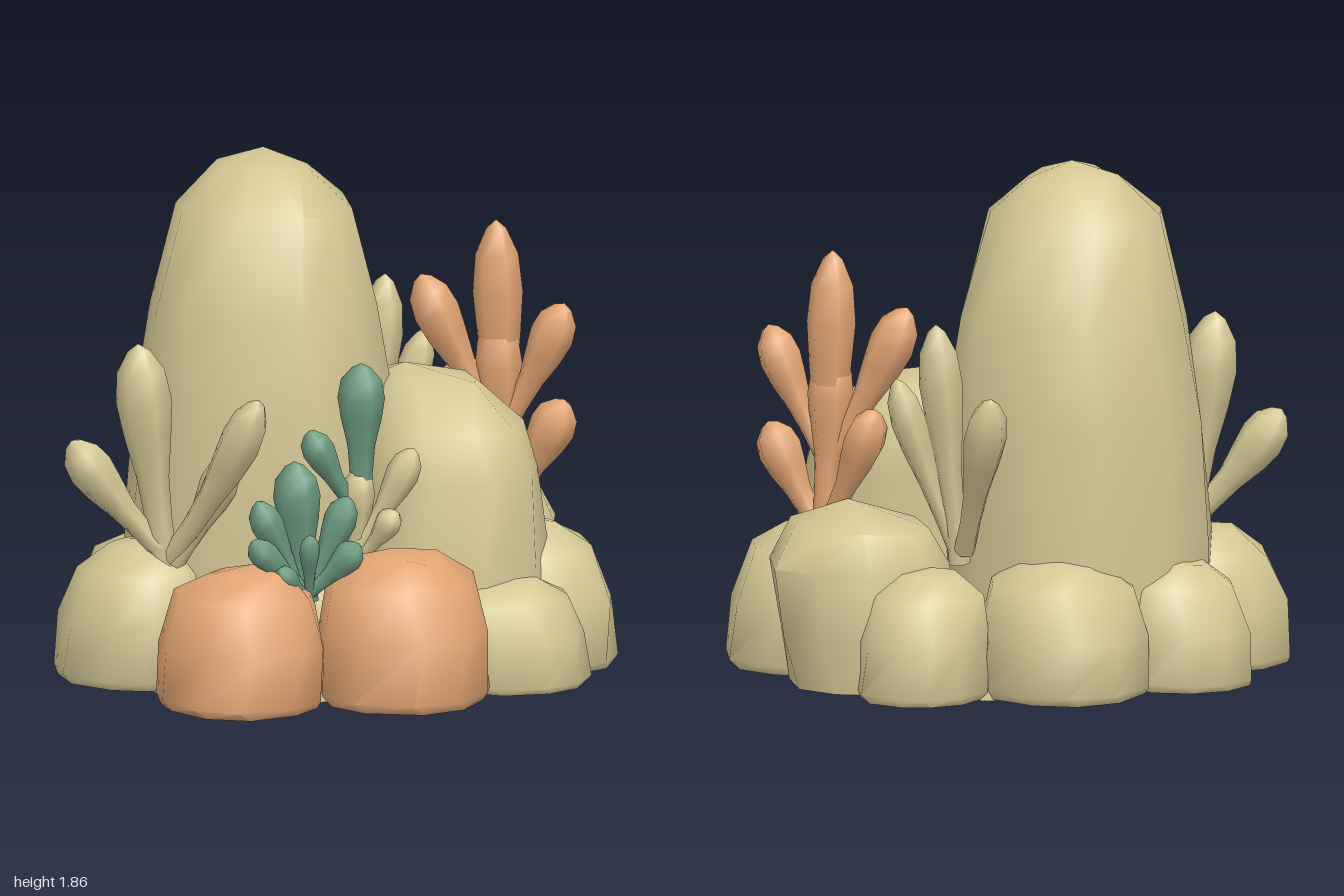
import * as THREE from 'three';
import { mergeVertices, toCreasedNormals } from 'three/addons/utils/BufferGeometryUtils.js';

const mat = (name, color) => new THREE.MeshStandardMaterial({ name, color });

// small seeded generator, returns -1..1
function seeded(seed) {
  let s = seed * 7919 + 17;
  return () => {
    s = (s * 16807) % 2147483647;
    return (s / 2147483647) * 2 - 1;
  };
}

// Rock lofted from rings [y, cx, cz, rx, rz], closed by an apex and a flat base
function rockGeometry(rings, apex, seed, sides = 10, rough = 0.045) {
  const rnd = seeded(seed);
  for (let i = 0; i < 5; i++) rnd();
  const pos = [], index = [], turn = rnd() * 0.3;
  const wobble = Array.from({ length: sides }, () => [rnd() * 0.1, 1 + rnd() * rough]);
  const top = rings[rings.length - 1][0];
  rings.forEach(([y, cx, cz, rx, rz], k) => {
    for (let i = 0; i < sides; i++) {
      const a = ((i + (k % 2) * 0.2) / sides) * Math.PI * 2 + turn + wobble[i][0];
      const r = wobble[i][1] * (1 + (k > 1 ? rnd() * rough : 0));
      const dy = k > 1 ? rnd() * rough * top * 0.6 : 0;
      pos.push(cx + Math.cos(a) * rx * r, y + dy, cz + Math.sin(a) * rz * r);
    }
  });
  for (let k = 0; k < rings.length - 1; k++) {
    for (let i = 0; i < sides; i++) {
      const a = k * sides + i, b = k * sides + ((i + 1) % sides);
      index.push(a, a + sides, b, b, a + sides, b + sides);
    }
  }
  const tip = pos.length / 3, last = (rings.length - 1) * sides;
  pos.push(...apex, rings[0][1], rings[0][0], rings[0][2]);
  for (let i = 0; i < sides; i++) {
    const j = (i + 1) % sides;
    index.push(last + i, tip, last + j, i, j, tip + 1);
  }
  const geo = new THREE.BufferGeometry();
  geo.setAttribute('position', new THREE.Float32BufferAttribute(pos, 3));
  geo.setIndex(index);
  return toCreasedNormals(geo, 1.0);
}

// Boulder on the ground, its top leaning in towards the middle of the ring
const boulderProfile = [[0.01, 0.93], [0.07, 1], [0.45, 0.99], [0.8, 0.83], [0.95, 0.48]];
function boulderGeometry(x, z, rx, rz, h, seed) {
  const d = Math.hypot(x, z), lean = 0.07;
  const shift = (t) => [x - (x / d) * lean * t * t, z - (z / d) * lean * t * t];
  const rings = boulderProfile.map(([t, r]) => [t * h, ...shift(t), rx * r, rz * r]);
  const [ax, az] = shift(1.1);
  return rockGeometry(rings, [ax, h, az], seed);
}

// Plant lobe: slim stalk swelling to a blunt tip, gently bent; stations are [t, radius]
const lobeProfile = [
  [0, 0.5], [0.2, 0.48], [0.4, 0.58], [0.6, 0.86], [0.75, 1], [0.88, 0.86], [0.97, 0.4], [1, 0.01],
];
function lobeGeometry(from, to, radius) {
  const a = new THREE.Vector3(...from), b = new THREE.Vector3(...to);
  const mid = a.clone().lerp(b, 0.5);
  mid.x += (b.x - a.x) * 0.12;
  mid.z += (b.z - a.z) * 0.12;
  const curve = new THREE.QuadraticBezierCurve3(a, mid, b);
  const steps = lobeProfile.length - 1, sides = 6;
  let geo = new THREE.TubeGeometry(curve, steps, 1, sides);
  const p = geo.attributes.position, v = new THREE.Vector3();
  lobeProfile.forEach(([t, r], k) => {
    const old = curve.getPointAt(k / steps), centre = curve.getPointAt(t);
    for (let i = 0; i <= sides; i++) {
      const n = k * (sides + 1) + i;
      v.fromBufferAttribute(p, n).sub(old).multiplyScalar(r * radius).add(centre);
      p.setXYZ(n, v.x, v.y, v.z);
    }
  });
  geo.deleteAttribute('normal');
  geo.deleteAttribute('uv');
  geo = mergeVertices(geo, 1e-5);
  geo.computeVertexNormals();
  return geo;
}

export function createModel() {
  const model = new THREE.Group();
  model.name = 'reefRocks';
  const sand = mat('sand', 0xd4c794);
  const orange = mat('orange', 0xe3a574);
  const green = mat('green', 0x6d9a80);

  const add = (parent, name, geo, material) => {
    const mesh = new THREE.Mesh(geo, material);
    mesh.name = name;
    parent.add(mesh);
  };

  // Low plinth that fills the underside
  add(model, 'plinth', rockGeometry([
    [0, 0, -0.07, 0.8, 0.64],
    [0.2, 0, -0.07, 0.78, 0.62],
  ], [0, 0.3, -0.07], 5, 20, 0.02), sand);

  // Tall spire and its shorter neighbour
  add(model, 'tallSpire', rockGeometry([
    [0.01, -0.19, -0.21, 0.47, 0.46],
    [0.5, -0.19, -0.21, 0.49, 0.48],
    [0.95, -0.17, -0.21, 0.475, 0.47],
    [1.3, -0.17, -0.21, 0.42, 0.42],
    [1.66, -0.175, -0.2, 0.32, 0.33],
    [1.79, -0.16, -0.23, 0.17, 0.17],
  ], [-0.15, 1.86, -0.25], 3, 12, 0.025), sand);
  add(model, 'shortSpire', rockGeometry([
    [0.01, 0.37, 0.2, 0.36, 0.38],
    [0.4, 0.37, 0.19, 0.36, 0.38],
    [0.72, 0.37, 0.17, 0.33, 0.36],
    [0.9, 0.37, 0.14, 0.28, 0.33],
    [1.03, 0.34, 0.06, 0.18, 0.21],
  ], [0.28, 1.09, 0.02], 8, 11, 0.025), sand);

  // Side boulder that is widest high up
  add(model, 'highSideBoulder', rockGeometry([
    [0.01, 0.6, -0.24, 0.29, 0.3],
    [0.2, 0.62, -0.24, 0.31, 0.32],
    [0.45, 0.65, -0.24, 0.325, 0.33],
    [0.58, 0.64, -0.22, 0.24, 0.28],
  ], [0.67, 0.67, -0.21], 27), sand);

  // Ring of boulders: name, x, z, rx, rz, height, material
  const boulders = [
    ['leftFrontBoulder', -0.57, 0.47, 0.3, 0.3, 0.5, orange],
    ['frontBoulder', -0.01, 0.63, 0.315, 0.305, 0.54, orange],
    ['sideBoulder', -0.72, -0.14, 0.275, 0.3, 0.5, sand],
    ['backCornerBoulder', -0.48, -0.56, 0.25, 0.23, 0.46, sand],
    ['backBoulder', -0.02, -0.62, 0.31, 0.305, 0.49, sand],
    ['backOuterBoulder', 0.5, -0.56, 0.24, 0.24, 0.46, sand],
    ['outerSideBoulder', 0.69, 0.21, 0.31, 0.33, 0.53, sand],
    ['smallFrontBoulder', 0.48, 0.56, 0.26, 0.23, 0.39, sand],
    ['innerBoulder', -0.1, 0.33, 0.24, 0.2, 0.5, sand],
  ];
  boulders.forEach(([name, x, z, rx, rz, h, m], i) =>
    add(model, name, boulderGeometry(x, z, rx, rz, h, i + 21), m));

  // Plants: lists of lobes [root, tip, radius, material]
  const plants = {
    sandCoralLeft: [
      [[-0.65, 0.42, 0], [-0.75, 1.24, -0.02], 0.1, sand],
      [[-0.66, 0.48, 0], [-0.97, 0.89, -0.11], 0.085, sand],
      [[-0.64, 0.46, 0.02], [-0.45, 1.08, 0.36], 0.08, sand],
      [[-0.63, 0.44, 0.03], [-0.48, 0.84, 0.18], 0.07, sand],
    ],
    sandCoralBack: [
      [[0.31, 0.45, -0.4], [0.4, 1.32, -0.4], 0.08, sand],
      [[0.3, 0.5, -0.42], [0.29, 1.1, -0.72], 0.08, sand],
      [[0.32, 0.5, -0.39], [0.53, 1.12, -0.34], 0.065, sand],
    ],
    orangeCoral: [
      [[0.72, 0.5, -0.08], [0.69, 1.55, -0.09], 0.09, orange],
      [[0.72, 0.5, -0.08], [0.69, 1.2, -0.08], 0.085, orange],
      [[0.69, 0.82, -0.09], [0.45, 1.35, -0.21], 0.085, orange],
      [[0.71, 0.8, -0.06], [0.88, 1.26, 0.08], 0.08, orange],
      [[0.72, 0.52, -0.06], [0.88, 0.91, 0.08], 0.085, orange],
      [[0.72, 0.55, -0.1], [0.59, 1.0, -0.28], 0.08, orange],
    ],
    greenTuft: [
      [[-0.32, 0.36, 0.48], [-0.36, 0.87, 0.46], 0.085, green],
      [[-0.33, 0.4, 0.48], [-0.51, 0.74, 0.47], 0.06, green],
      [[-0.32, 0.4, 0.49], [-0.18, 0.74, 0.53], 0.06, green],
      [[-0.32, 0.4, 0.49], [-0.54, 0.6, 0.49], 0.055, green],
      [[-0.32, 0.4, 0.5], [-0.17, 0.58, 0.6], 0.055, green],
      [[-0.33, 0.38, 0.5], [-0.46, 0.5, 0.55], 0.045, green],
      [[-0.32, 0.38, 0.5], [-0.35, 0.62, 0.57], 0.04, green],
    ],
    greenTippedCoral: [
      [[-0.07, 0.42, 0.36], [-0.06, 0.8, 0.36], 0.06, sand],
      [[-0.05, 0.68, 0.36], [-0.05, 1.18, 0.36], 0.085, green],
      [[-0.08, 0.66, 0.36], [-0.25, 0.95, 0.35], 0.06, green],
      [[-0.06, 0.52, 0.37], [0.12, 0.87, 0.44], 0.06, sand],
      [[-0.06, 0.48, 0.38], [0.03, 0.66, 0.48], 0.05, sand],
    ],
  };
  for (const [name, lobes] of Object.entries(plants)) {
    const plant = new THREE.Group();
    plant.name = name;
    lobes.forEach(([a, b, r, m]) => add(plant, 'lobe', lobeGeometry(a, b, r), m));
    model.add(plant);
  }
  return model;
}
